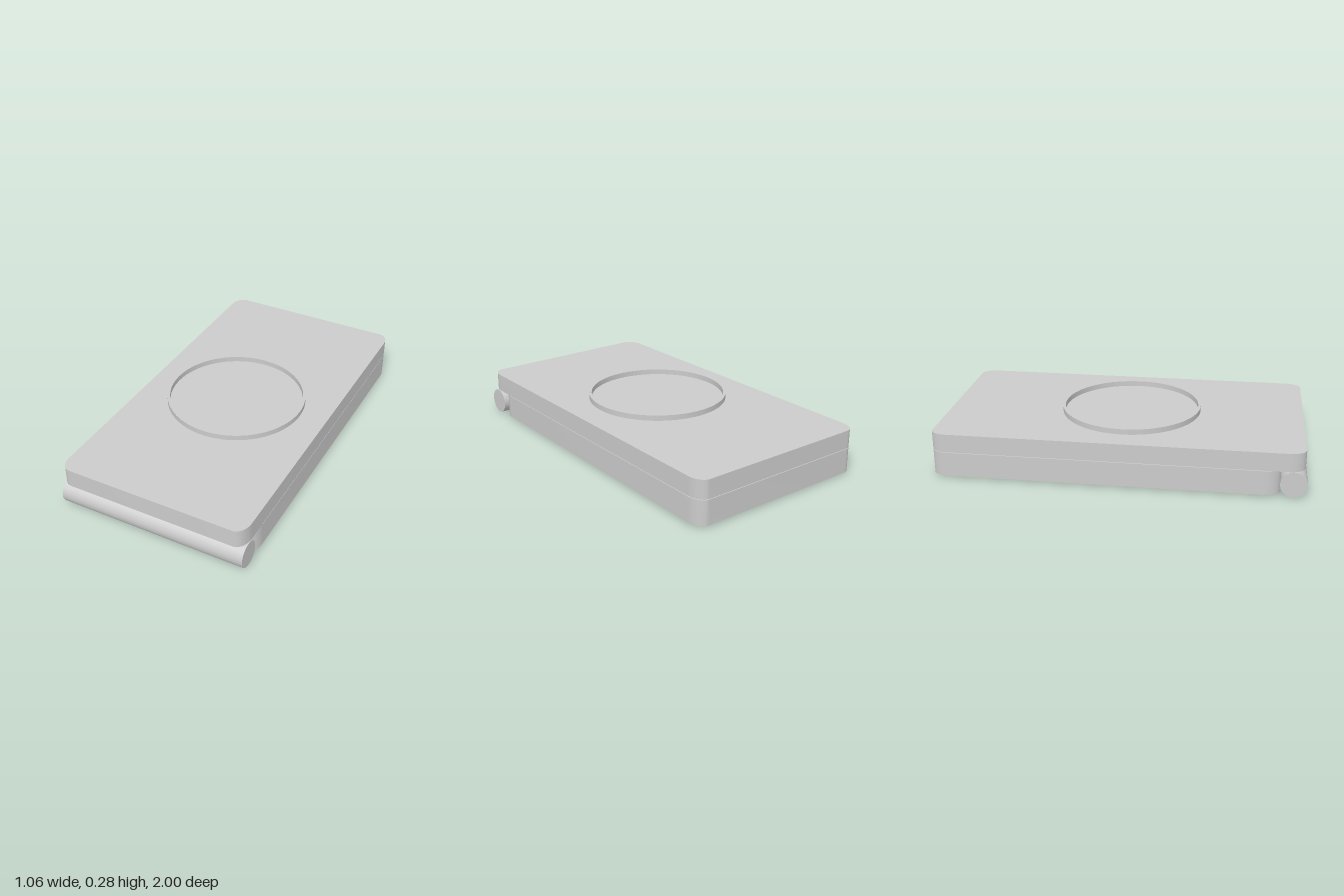
import * as THREE from 'three';
import { toCreasedNormals } from 'three/addons/utils/BufferGeometryUtils.js';

const material = new THREE.MeshStandardMaterial({ color: 0xcccccc });

function addMesh(group, name, geometry) {
  const mesh = new THREE.Mesh(geometry, material);
  mesh.name = name;
  group.add(mesh);
  return mesh;
}

// Extrudes a plan outline (x, -z) upwards from y0 to y1 with smooth curved walls
function extrudeUp(shape, y0, y1) {
  const geometry = new THREE.ExtrudeGeometry(shape, { depth: y1 - y0, bevelEnabled: false, curveSegments: 12 });
  geometry.rotateX(-Math.PI / 2).translate(0, y0, 0);
  return toCreasedNormals(geometry, 0.6);
}

// Slab outline with slightly elliptical corners, from zBack to zFront
function slabShape(halfWidth, zBack, zFront, rx = 0.06, rz = 0.09) {
  const bottom = -zFront, top = -zBack, q = Math.PI / 2;
  const shape = new THREE.Shape();
  shape.moveTo(halfWidth, bottom + rz);
  shape.absellipse(halfWidth - rx, top - rz, rx, rz, 0, q, false, 0);
  shape.absellipse(-halfWidth + rx, top - rz, rx, rz, q, 2 * q, false, 0);
  shape.absellipse(-halfWidth + rx, bottom + rz, rx, rz, 2 * q, 3 * q, false, 0);
  shape.absellipse(halfWidth - rx, bottom + rz, rx, rz, 3 * q, 4 * q, false, 0);
  return shape;
}

export function createModel() {
  const model = new THREE.Group();
  model.name = 'foldingPad';

  // Two stacked slabs; the lower one stops short to clear the hinge
  addMesh(model, 'lowerSlab', extrudeUp(slabShape(0.532, -1, 0.862), 0.01, 0.145));
  addMesh(model, 'upperSlab', extrudeUp(slabShape(0.532, -1, 0.985), 0.148, 0.25));

  // Hinge barrel along the front edge
  const hinge = new THREE.CylinderGeometry(0.071, 0.071, 1.055, 40).rotateZ(Math.PI / 2);
  addMesh(model, 'hingeBarrel', hinge).position.set(0.0045, 0.0725, 0.929);

  // Thin raised ring on the top face
  const ring = new THREE.Shape().absarc(0, 0, 0.39, 0, Math.PI * 2, false);
  ring.holes.push(new THREE.Path().absarc(0, 0, 0.376, 0, Math.PI * 2, true));
  const ringGeometry = new THREE.ExtrudeGeometry(ring, { depth: 0.031, bevelEnabled: false, curveSegments: 48 });
  ringGeometry.rotateX(-Math.PI / 2);
  addMesh(model, 'raisedRing', toCreasedNormals(ringGeometry, 0.6)).position.set(-0.01, 0.249, 0.022);

  return model;
}
